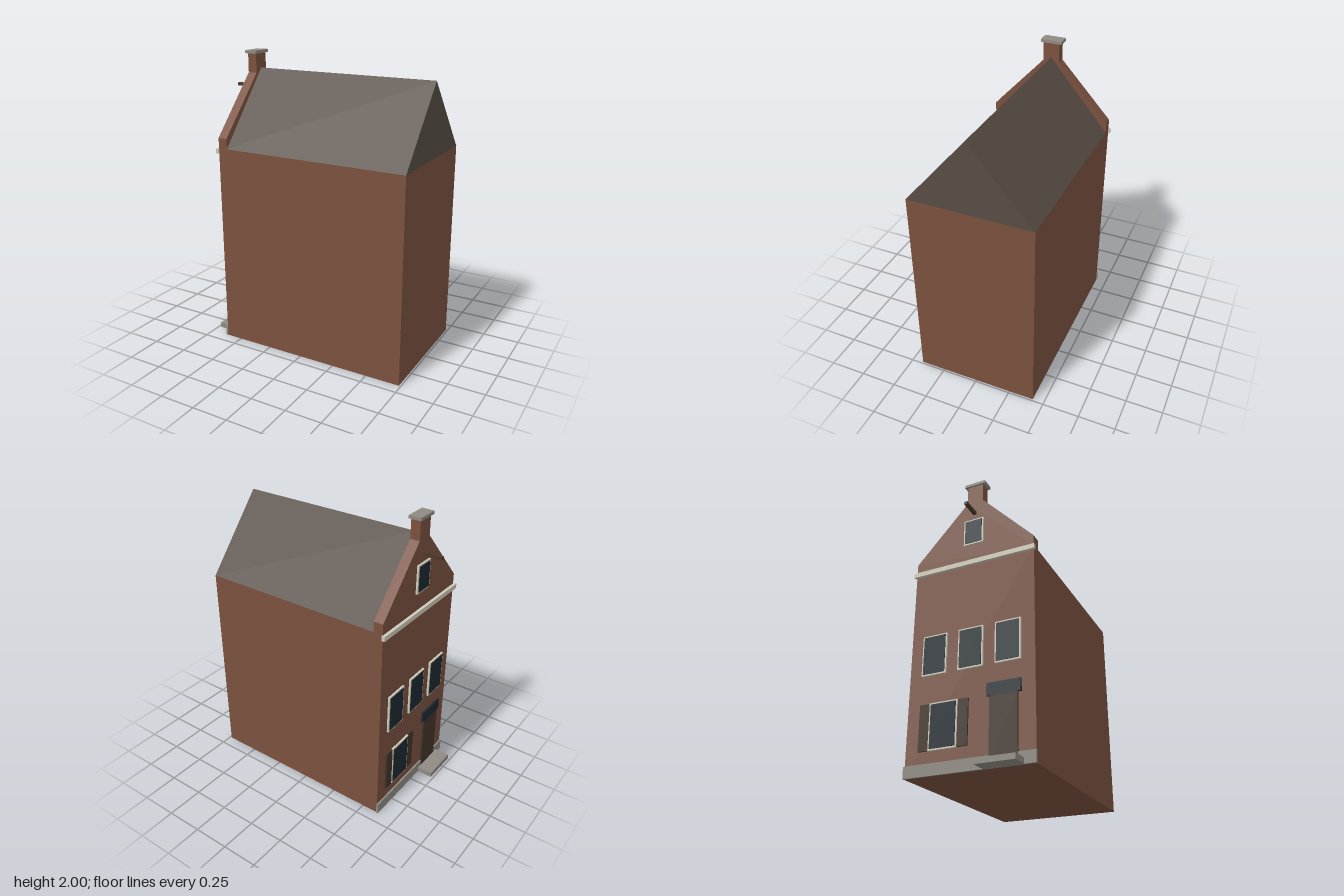
import * as THREE from 'three';

const FACE = -0.613; // x of the street wall
const BACK = 0.737;
const HALF = 0.422; // half the house width

const mat = (name, color) => {
  const m = new THREE.MeshStandardMaterial({ color });
  m.name = name;
  return m;
};

export function createModel() {
  const brick = mat('brick', 0x7b513f);
  const slate = mat('roof', 0x574d45);
  const stone = mat('stone', 0x8f8a82);
  const cream = mat('cream paint', 0xcfcab8);
  const glass = mat('glass', 0x1d2a31);
  const doorPaint = mat('door paint', 0x43362a);
  const timber = mat('timber', 0x4b3828);

  const house = new THREE.Group();
  house.name = 'house';

  // box given by its min and max on each axis
  function box(name, material, [x0, x1], [y0, y1], [z0, z1], parent = house) {
    const mesh = new THREE.Mesh(new THREE.BoxGeometry(x1 - x0, y1 - y0, z1 - z0), material);
    mesh.position.set((x0 + x1) / 2, (y0 + y1) / 2, (z0 + z1) / 2);
    mesh.name = name;
    parent.add(mesh);
    return mesh;
  }

  // outline of [z, y] points extruded along x from x0 to x1
  function slab(name, material, points, x0, x1) {
    const shape = new THREE.Shape(points.map(([z, y]) => new THREE.Vector2(-z, y)));
    const geo = new THREE.ExtrudeGeometry(shape, { depth: x1 - x0, bevelEnabled: false });
    geo.rotateY(Math.PI / 2).translate(x0, 0, 0);
    const mesh = new THREE.Mesh(geo, material);
    mesh.name = name;
    house.add(mesh);
  }

  // plate standing out from the street wall
  const plate = (name, material, out, y, z, parent, inner = FACE + 0.002) =>
    box(name, material, [FACE - out, inner], y, z, parent);

  // walls and roof
  box('walls', brick, [FACE, BACK], [0, 1.39], [-HALF, HALF]);
  slab('roof', slate, [[-HALF, 1.39], [HALF, 1.39], [0, 1.88]], -0.55, BACK);

  // street gable rising above the roof into a capped stub
  slab('streetGable', brick, [
    [-HALF, 1.39], [HALF, 1.39], [HALF, 1.46], [0.057, 1.85], [0.057, 1.98],
    [-0.057, 1.98], [-0.057, 1.85], [-HALF, 1.46],
  ], FACE, -0.548);
  box('gableCap', stone, [-0.625, -0.54], [1.98, 2], [-0.075, 0.075]);

  // trim on the street wall
  plate('cornice', cream, 0.02, [1.355, 1.388], [-0.432, 0.432]);
  plate('plinth', stone, 0.012, [0, 0.075], [-0.426, 0.426]);
  box('frontStep', stone, [-0.733, FACE], [0, 0.035], [0.1, 0.352]);
  box('hoistBeam', timber, [-0.742, FACE], [1.745, 1.765], [-0.011, 0.011]);

  // framed windows
  function sashWindow(name, z, width, y0, y1) {
    const g = new THREE.Group();
    g.name = name;
    house.add(g);
    const b = 0.01;
    plate('frame', cream, 0.013, [y0, y1], [z - width / 2, z + width / 2], g);
    plate('pane', glass, 0.016, [y0 + b, y1 - b],
      [z - width / 2 + b, z + width / 2 - b], g, FACE - 0.012);
  }
  for (const z of [-0.25, 0, 0.25]) sashWindow('upperWindow', z, 0.17, 0.63, 0.9);
  sashWindow('gableWindow', 0, 0.14, 1.51, 1.7);
  sashWindow('groundWindow', -0.17, 0.19, 0.15, 0.445);

  // shutters beside the ground window
  for (const side of [-1, 1]) {
    const z = -0.17 + side * 0.13;
    plate('shutter', doorPaint, 0.01, [0.152, 0.443], [z - 0.034, z + 0.034]);
  }

  // door and the light above it
  plate('door', doorPaint, 0.013, [0.035, 0.43], [0.135, 0.315]);
  plate('doorLight', glass, 0.014, [0.43, 0.51], [0.115, 0.335]);

  return house;
}
